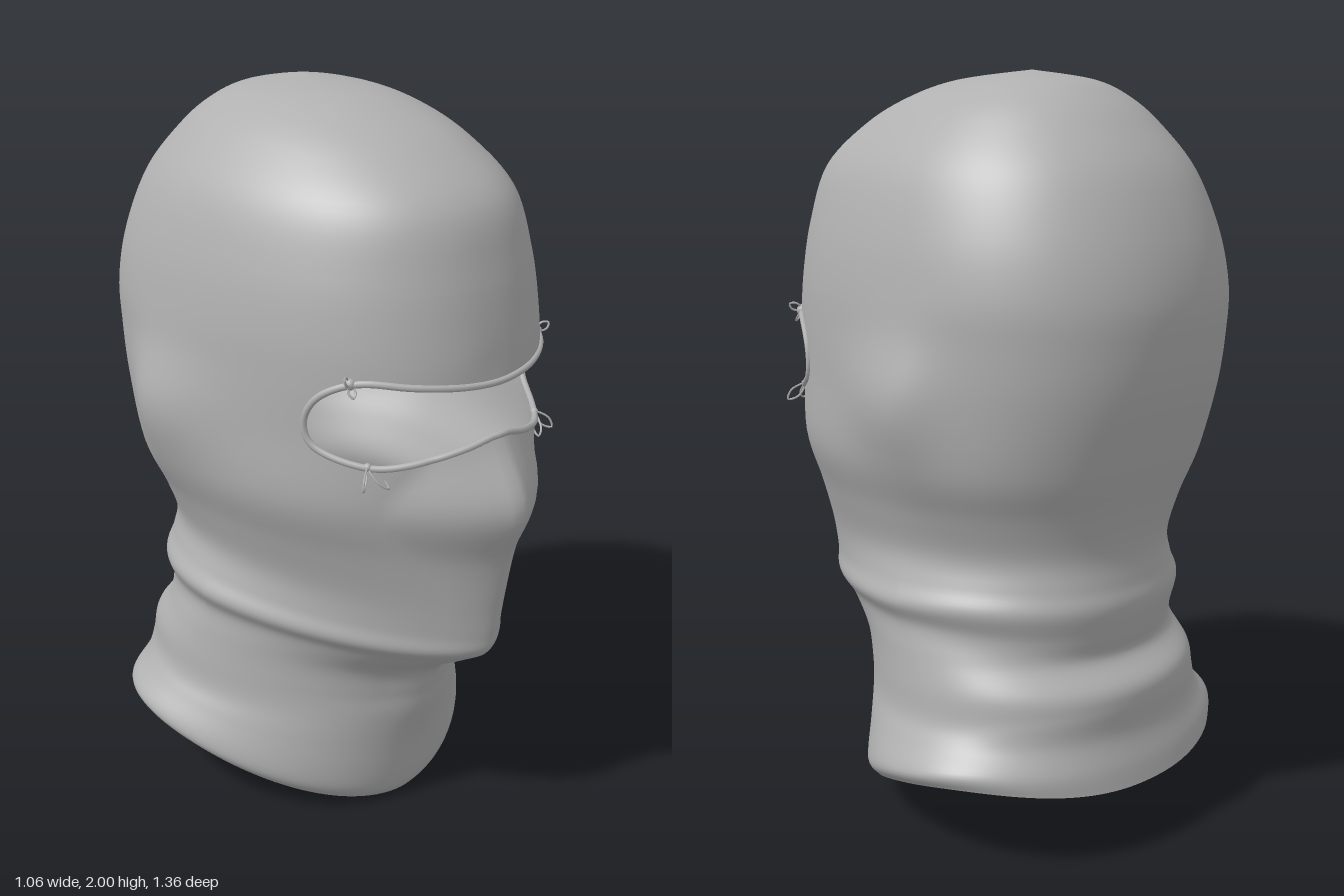
import * as THREE from 'three';

// Neck and jaw rings: front y, front z, side y, half width, back y, back z, front roundness, nose ridge
const NECK = [
  [0.00, 0.25, 0.215, 0.50, 0.185, -0.61, 1.85, 0],
  [0.05, 0.28, 0.25, 0.52, 0.24, -0.60, 1.85, 0],
  [0.20, 0.31, 0.31, 0.475, 0.32, -0.58, 1.8, 0],
  [0.31, 0.345, 0.36, 0.445, 0.40, -0.585, 1.75, 0.01],
  [0.38, 0.36, 0.44, 0.435, 0.45, -0.575, 1.75, 0.015],
  [0.46, 0.39, 0.52, 0.42, 0.51, -0.52, 1.7, 0.01],
  [0.53, 0.50, 0.59, 0.41, 0.57, -0.53, 1.55, 0],
  [0.575, 0.565, 0.65, 0.435, 0.65, -0.545, 1.5, 0],
  [0.63, 0.58, 0.705, 0.41, 0.71, -0.535, 1.55, 0.01],
  [0.72, 0.592, 0.78, 0.393, 0.79, -0.53, 1.7, 0.02],
  [0.86, 0.62, 0.89, 0.425, 0.90, -0.555, 1.9, 0.05],
];
// Head rings, level: y, front z, half width, back z, nose ridge
const HEAD = [
  [1.02, 0.68, 0.47, -0.597, 0.12],
  [1.20, 0.59, 0.48, -0.65, 0.03],
  [1.34, 0.567, 0.483, -0.672, 0],
  [1.46, 0.555, 0.482, -0.675, 0],
  [1.60, 0.53, 0.46, -0.645, 0],
  [1.75, 0.48, 0.41, -0.58, 0],
  [1.86, 0.35, 0.33, -0.49, 0],
  [1.93, 0.21, 0.25, -0.41, 0],
  [1.975, 0.06, 0.15, -0.32, 0],
  [2.00, -0.16, 0, -0.16, 0],
];
const RINGS = [...NECK, ...HEAD.map(([y, zf, w, zb, r]) => [y, zf, y, w, y, zb, 2.2, r])];
const COLS = 128, SUB = 6;

// Smoothly interpolated ring at position t
function ringAt(t) {
  const last = RINGS.length - 1;
  const i = Math.min(Math.floor(t), last - 1), f = t - i;
  const at = (k) => RINGS[Math.max(0, Math.min(last, k))];
  return at(i).map((b, k) => {
    const a = at(i - 1)[k], c = at(i + 1)[k], d = at(i + 2)[k];
    return b + 0.5 * f * (c - a + f * (2 * a - 5 * b + 4 * c - d + f * (3 * (b - c) + d - a)));
  });
}

const ridge = (x, r) => r * Math.max(0, 1 - Math.abs(x) / (0.1 + 1.4 * Math.max(r, 0)));
const power = (v, e) => Math.sign(v) * Math.pow(Math.abs(v), e);

// Point on the fabric: angle a runs from the front towards +x
function surfacePoint(t, a) {
  const [yf, zf, ys, w, yb, zb, nf, r] = ringAt(t);
  const s = Math.sin(a), c = Math.cos(a);
  const n = c > 0 ? nf : 2.15;
  const zc = 0.4 * (zf - r) + 0.6 * zb;
  let x = w * power(s, 2 / n);
  let z = zc + (c > 0 ? zf - r - zc : zc - zb) * power(c, 2 / n);
  if (c > 0) z += ridge(x, r);
  const y = ys + c * (yf - yb) / 2 + c * c * ((yf + yb) / 2 - ys);
  // ear bulge, falling off sharply behind
  const dz = (z + 0.18) / (z > -0.18 ? 0.2 : 0.12), dy = (y - 1.19) / 0.15;
  x += s * 0.052 * Math.exp(-dz * dz - dy * dy);
  return new THREE.Vector3(x, y, z);
}

// Front of the face above the given x and y
function facePoint(x, y) {
  let lo = NECK.length, hi = RINGS.length - 1;
  for (let k = 0; k < 30; k++) {
    const mid = (lo + hi) / 2;
    if (ringAt(mid)[0] < y) lo = mid; else hi = mid;
  }
  const [, zf, , w, , zb, n, r] = ringAt(lo);
  const zc = 0.4 * (zf - r) + 0.6 * zb;
  const k = Math.pow(Math.max(0, 1 - Math.pow(Math.abs(x) / w, n)), 1 / n);
  return new THREE.Vector3(x, y, zc + (zf - r - zc) * k + ridge(x, r));
}

// Outline of the eye opening, mirrored from one half
function eyeOutline() {
  const half = [[0.1, 1.335], [0.22, 1.347], [0.32, 1.355], [0.37, 1.32], [0.39, 1.25],
    [0.375, 1.18], [0.3, 1.14], [0.2, 1.15], [0.1, 1.177]];
  const points = [[0, 1.33], ...half, [0, 1.2], ...half.map(([x, y]) => [-x, y]).reverse()];
  const curve = new THREE.CatmullRomCurve3(points.map(([x, y]) => new THREE.Vector3(x, y, 0)), true);
  return curve.getPoints(240).slice(0, -1);
}

function inside(p, outline) {
  if (p.z < 0 || p.y < 1.1 || p.y > 1.4) return false;
  let hit = false;
  outline.forEach((a, i) => {
    const b = outline[(i + 1) % outline.length];
    if ((a.y > p.y) !== (b.y > p.y) && p.x < a.x + (p.y - a.y) * (b.x - a.x) / (b.y - a.y)) hit = !hit;
  });
  return hit;
}

// Fabric shell with the eye opening cut out
function hoodGeometry(outline) {
  const rows = (RINGS.length - 1) * SUB;
  const points = [], cut = [], index = [];
  for (let j = 0; j <= rows; j++) {
    for (let i = 0; i < COLS; i++) {
      const p = surfacePoint(j / SUB, (i / COLS) * Math.PI * 2);
      const isCut = inside(p, outline);
      cut.push(isCut);
      if (isCut) {
        // pull to the edge of the opening
        let best = outline[0], d = Infinity;
        for (const o of outline) {
          const e = (o.x - p.x) ** 2 + (o.y - p.y) ** 2;
          if (e < d) { d = e; best = o; }
        }
        p.copy(facePoint(best.x, best.y));
      }
      points.push(p);
    }
  }
  for (let j = 0; j < rows; j++) {
    for (let i = 0; i < COLS; i++) {
      const k = (i + 1) % COLS;
      const a = j * COLS + i, b = j * COLS + k, c = b + COLS, d = a + COLS;
      for (const tri of [[a, b, c], [a, c, d]]) {
        if (!tri.every((v) => cut[v])) index.push(...tri);
      }
    }
  }
  const g = new THREE.BufferGeometry().setFromPoints(points);
  g.setIndex(index);
  g.computeVertexNormals();
  return g;
}

export function createModel() {
  const model = new THREE.Group();
  model.name = 'balaclava';
  const fabric = new THREE.MeshStandardMaterial({ color: 0xb0b0b0, side: THREE.DoubleSide });
  fabric.name = 'grey fabric';
  const add = (name, geometry, parent = model) => {
    const mesh = new THREE.Mesh(geometry, fabric);
    mesh.name = name;
    parent.add(mesh);
    return mesh;
  };

  const outline = eyeOutline();
  add('hood', hoodGeometry(outline));

  // Rolled hem around the eye opening
  const hem = new THREE.CatmullRomCurve3(
    outline.filter((_, i) => i % 3 === 0).map((o) => facePoint(o.x, o.y)), true);
  add('eyeHem', new THREE.TubeGeometry(hem, 160, 0.009, 8, true));

  // Loose thread loops at the corners of the opening
  const loop = (parent, start, tip, spread) => {
    const mid = start.clone().lerp(tip, 0.6);
    const curve = new THREE.CatmullRomCurve3(
      [start, mid.clone().add(spread), tip, mid.clone().sub(spread)], true);
    add('threadLoop', new THREE.TubeGeometry(curve, 20, 0.003, 5, true), parent);
  };
  for (const side of [-1, 1]) {
    const v = (x, y, z) => new THREE.Vector3(side * x, y, z);
    const upper = new THREE.Group(), lower = new THREE.Group();
    upper.name = 'upperThread';
    lower.name = 'lowerThread';
    model.add(upper, lower);
    const top = facePoint(side * 0.33, 1.355), low = facePoint(side * 0.3, 1.142);
    add('knot', new THREE.SphereGeometry(0.015, 10, 8), upper).position.copy(top);
    add('knot', new THREE.SphereGeometry(0.011, 10, 8), lower).position.copy(low);
    loop(upper, top, top.clone().add(v(0.03, 0.02, 0.015)), v(0.004, -0.008, 0.006));
    loop(upper, top, top.clone().add(v(0.005, -0.03, 0.02)), v(0.008, 0, -0.004));
    loop(lower, low, low.clone().add(v(-0.03, -0.05, 0.045)), v(0.01, -0.006, 0.008));
    loop(lower, low, low.clone().add(v(0.04, -0.045, 0.03)), v(0.008, 0.009, 0.006));
  }
  return model;
}
